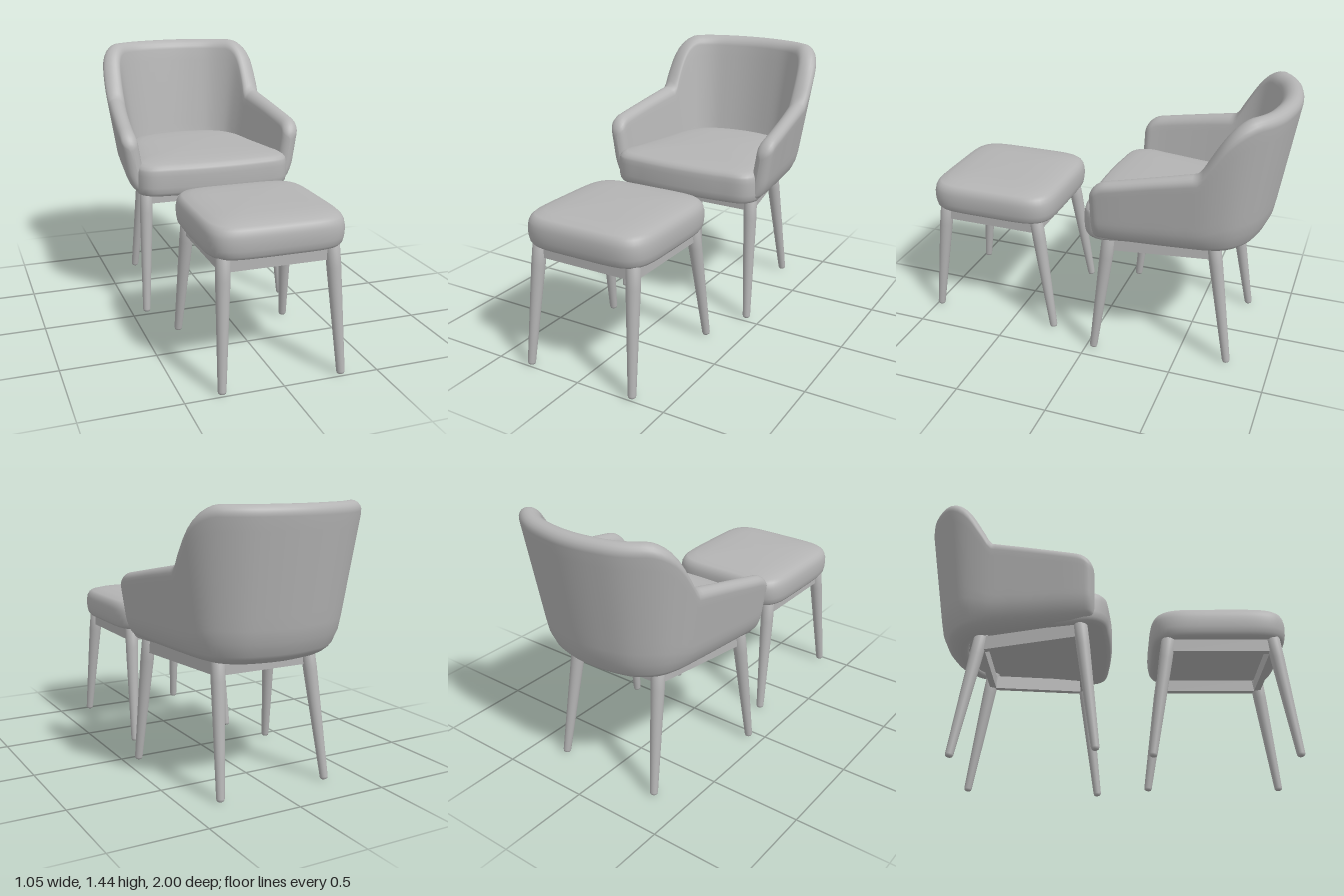
import * as THREE from 'three';

const V = (x, y, z) => new THREE.Vector3(x, y, z);

// Skin a list of equal-length closed rings; both ends are closed with a fan.
function loft(rings) {
  const n = rings[0].length, pos = [], idx = [];
  rings.forEach(r => r.forEach(p => pos.push(p.x, p.y, p.z)));
  for (let i = 0; i < rings.length - 1; i++) {
    for (let j = 0; j < n; j++) {
      const k = (j + 1) % n, a = i * n + j, b = i * n + k, c = a + n, d = b + n;
      idx.push(a, b, d, a, d, c);
    }
  }
  [rings[0], rings[rings.length - 1]].forEach((ring, end) => {
    const mid = ring.reduce((s, p) => s.add(p), V(0, 0, 0)).divideScalar(n);
    const m = pos.length / 3, o = end ? (rings.length - 1) * n : 0;
    pos.push(mid.x, mid.y, mid.z);
    for (let j = 0; j < n; j++) {
      const a = o + j, b = o + (j + 1) % n;
      if (end) idx.push(m, a, b); else idx.push(m, b, a);
    }
  });
  const g = new THREE.BufferGeometry();
  g.setAttribute('position', new THREE.Float32BufferAttribute(pos, 3));
  g.setIndex(idx);
  g.computeVertexNormals();
  return g;
}

// Cushion: a plan outline scaled about its centre at each [scale, y] level.
function cushion(outline, cz, levels) {
  return loft(levels.map(([s, y]) => outline.map(p => V(p.x * s, y, cz + (p.z - cz) * s))));
}

// Mirror a half plan (x > 0) to a full list of points.
const mirrored = half => [...half, ...half.slice(0, -1).reverse().map(([x, z]) => [-x, z])];

// Height of the shell's upper edge: sloping arms, then a rise to the back.
function topHeight(z) {
  if (z > -0.6) return 1.05 + (-0.1 - z) * 0.2;
  const k = Math.min(1, (-0.6 - z) / 0.19);
  return 1.15 + 0.29 * (1.3 * k - 0.3 * k ** 4);
}

// Backrest and arms: a rounded wall section swept round a U-shaped plan.
function shellGeometry() {
  const plan = mirrored([[0.48, -0.05], [0.475, -0.15], [0.455, -0.32], [0.43, -0.5], [0.4, -0.66],
    [0.355, -0.755], [0.255, -0.835], [0.13, -0.872], [0, -0.885]]);
  const curve = new THREE.CatmullRomCurve3(plan.map(([x, z]) => V(x, 0, z)));
  curve.arcLengthDivisions = 800;
  const len = curve.getLength();
  const ends = [0, 0.003, 0.008, 0.016, 0.026, 0.038, 0.052, 0.07, 0.09];
  const stations = [...ends];
  for (let i = 1; i < 90; i++) stations.push(0.09 + (len - 0.18) * i / 90);
  stations.push(...ends.slice().reverse().map(d => len - d));

  const round = (d, R) => d >= R ? 1 : Math.sqrt(Math.max(0, 1 - (1 - d / R) ** 2));
  const lean = y => 0.16 * (y - 1) - 0.045 * (Math.max(0, 0.82 - y) / 0.14) ** 2;

  return loft(stations.map(s => {
    const p = curve.getPointAt(s / len), t = curve.getTangentAt(s / len);
    const d = Math.min(s, len - s);
    const r = (0.046 + 0.008 * THREE.MathUtils.smoothstep(-p.z, 0.3, 0.8)) * Math.max(0.15, round(d, 0.045));
    const top = topHeight(p.z) - 0.09 * (1 - round(d, 0.09));
    const bottom = 0.70 + 0.035 * p.z + 0.03 * (1 - round(d, 0.04));
    const section = [], A = 10, S = 10;
    const lo = bottom + r, hi = top - r;
    for (let i = 0; i <= A; i++) {
      const a = Math.PI * (1 - i / A);
      section.push([r * Math.cos(a), hi + r * Math.sin(a)]);
    }
    for (let i = 1; i < S; i++) section.push([r, hi + (lo - hi) * i / S]);
    for (let i = 0; i <= A; i++) {
      const a = -Math.PI * i / A;
      section.push([r * Math.cos(a), lo + r * Math.sin(a)]);
    }
    for (let i = 1; i < S; i++) section.push([-r, lo + (hi - lo) * i / S]);
    return section.map(([o, y]) => {
      const k = o + lean(y);
      return V(p.x - t.z * k, y, p.z + t.x * k);
    });
  }));
}

export function createModel() {
  const model = new THREE.Group();
  const grey = new THREE.MeshStandardMaterial({ color: 0xb4b4b4 });
  grey.name = 'plain grey';

  const add = (parent, name, geometry) => {
    const mesh = new THREE.Mesh(geometry, grey);
    mesh.name = name;
    parent.add(mesh);
    return mesh;
  };

  // Tapered round leg with a softened foot, from floor point to top point.
  const leg = (parent, name, foot, top) => {
    const L = foot.distanceTo(top);
    const profile = [[0, 0], [0.012, 0], [0.018, 0.004], [0.021, 0.014], [0.036, L * 0.8], [0.036, L], [0, L]];
    const mesh = add(parent, name, new THREE.LatheGeometry(profile.map(([x, y]) => new THREE.Vector2(x, y)), 24));
    mesh.position.copy(foot);
    mesh.quaternion.setFromUnitVectors(V(0, 1, 0), top.clone().sub(foot).normalize());
  };

  // Straight rail between two points.
  const rail = (parent, name, a, b, height) => {
    const mesh = add(parent, name, new THREE.BoxGeometry(0.035, height, a.distanceTo(b)));
    mesh.position.copy(a).add(b).multiplyScalar(0.5);
    mesh.lookAt(b);
  };

  // Four legs joined by rails; f and b give [footX, footZ, topX, topZ, railY].
  const base = (parent, f, b, topY, railHeight) => {
    const group = new THREE.Group();
    group.name = 'base';
    parent.add(group);
    for (const [side, s] of [['left', 1], ['right', -1]]) {
      leg(group, side + 'FrontLeg', V(s * f[0], 0, f[1]), V(s * f[2], topY, f[3]));
      leg(group, side + 'BackLeg', V(s * b[0], 0, b[1]), V(s * b[2], topY, b[3]));
      rail(group, side + 'Rail', V(s * f[2], f[4], f[3]), V(s * b[2], b[4], b[3]), railHeight);
    }
    rail(group, 'frontRail', V(-f[2], f[4], f[3]), V(f[2], f[4], f[3]), railHeight);
    rail(group, 'backRail', V(-b[2], b[4], b[3]), V(b[2], b[4], b[3]), railHeight);
  };

  // Armchair
  const chair = new THREE.Group();
  chair.name = 'armchair';
  model.add(chair);
  add(chair, 'backAndArms', shellGeometry());

  const seatHalf = [[0, 0.045], [0.25, 0.032], [0.4, 0.005], [0.445, -0.06], [0.425, -0.2],
    [0.385, -0.42], [0.345, -0.65], [0.26, -0.77], [0, -0.83]];
  const seatPlan = [...seatHalf, ...seatHalf.slice(1, -1).reverse().map(([x, z]) => [-x, z])];
  const seatCurve = new THREE.CatmullRomCurve3(seatPlan.map(([x, z]) => V(x, 0, z)), true);
  add(chair, 'seatCushion', cushion(seatCurve.getSpacedPoints(120).slice(0, 120), -0.39, [
    [0.3, 0.69], [0.92, 0.69], [0.97, 0.698], [0.99, 0.715], [1, 0.745], [1, 0.81], [0.993, 0.832], [0.99, 0.838],
    [0.985, 0.848], [0.96, 0.862], [0.92, 0.871], [0.8, 0.88], [0.6, 0.886], [0.3, 0.89]]));
  base(chair, [0.415, -0.04, 0.38, -0.125, 0.66], [0.31, -0.77, 0.262, -0.65, 0.638], 0.72, 0.075);

  // Footstool
  const stool = new THREE.Group();
  stool.name = 'footstool';
  model.add(stool);
  const stoolPlan = [];
  for (let i = 0; i < 120; i++) {
    const a = i / 120 * Math.PI * 2, c = Math.cos(a), s = Math.sin(a);
    const k = (Math.abs(c) ** 5.5 + Math.abs(s) ** 5.5) ** (-1 / 5.5);
    stoolPlan.push(V(0.357 * c * k, 0, 0.615 - 0.366 * s * k));
  }
  add(stool, 'stoolCushion', cushion(stoolPlan, 0.615, [
    [0.3, 0.65], [0.9, 0.65], [0.95, 0.656], [0.98, 0.672], [0.995, 0.70], [1, 0.73], [0.997, 0.757], [0.988, 0.767],
    [0.985, 0.778], [0.96, 0.797], [0.92, 0.81], [0.8, 0.823], [0.6, 0.831], [0.3, 0.835]]));
  base(stool, [0.31, 0.978, 0.277, 0.893, 0.62], [0.31, 0.243, 0.277, 0.345, 0.62], 0.68, 0.075);

  return model;
}
